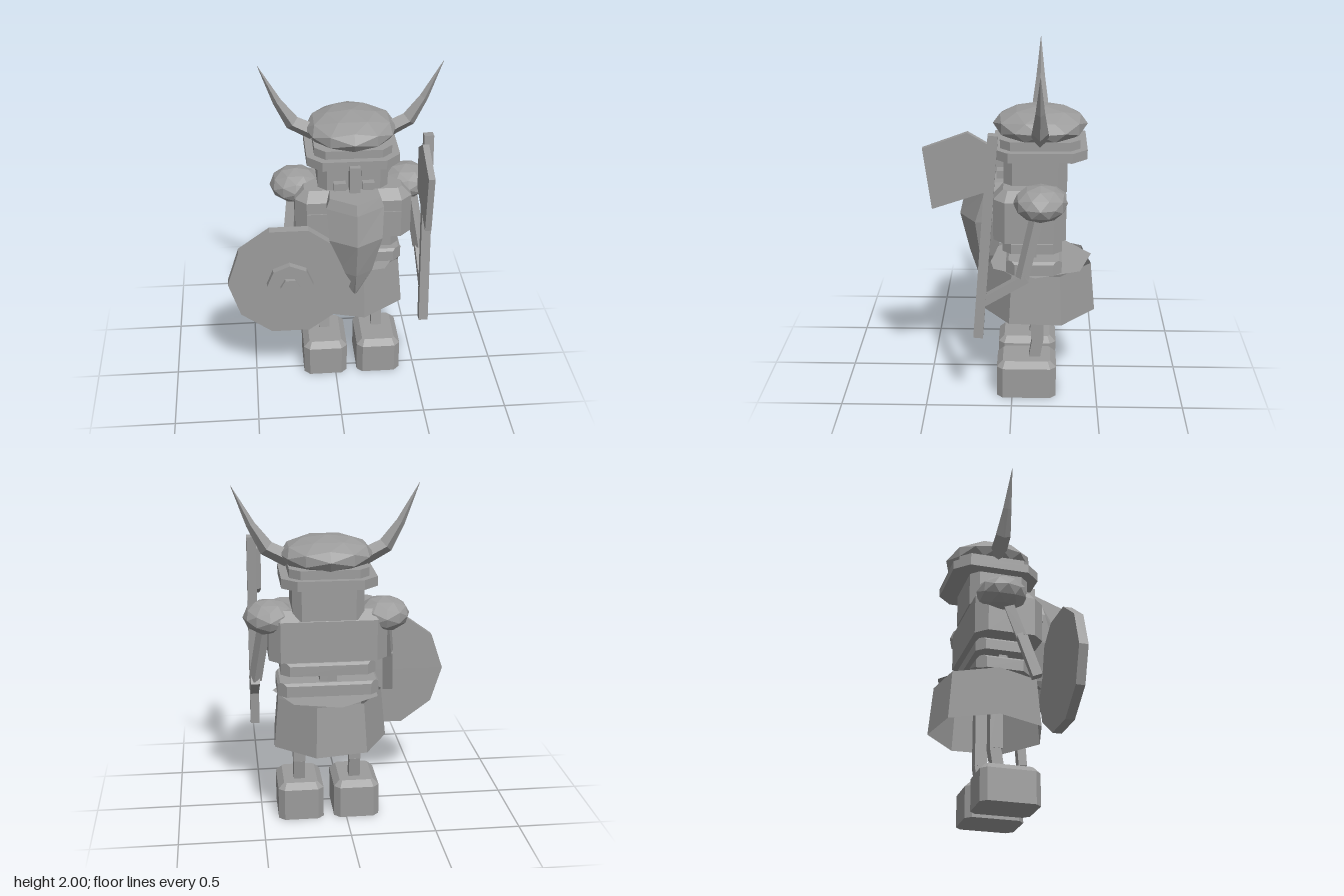
import * as THREE from 'three';

const CX = 0.105, CZ = -0.155; // body axis

export function createModel() {
  const root = new THREE.Group();
  root.name = 'hornedWarrior';
  const grey = new THREE.MeshStandardMaterial({ color: 0x9c9c9c, flatShading: true, side: THREE.DoubleSide });
  grey.name = 'stone grey';

  const add = (name, geo, x = 0, y = 0, z = 0, parent = root) => {
    const m = new THREE.Mesh(geo, grey);
    m.name = name;
    m.position.set(x, y, z);
    parent.add(m);
    return m;
  };

  // Skin a stack of rings, capped at both ends
  const loft = (rings) => {
    const n = rings[0].length, idx = [];
    const top = (rings.length - 1) * n;
    for (let r = 0; r < rings.length - 1; r++)
      for (let i = 0; i < n; i++) {
        const a = r * n + i, b = r * n + (i + 1) % n;
        idx.push(a, b, b + n, a, b + n, a + n);
      }
    for (let i = 1; i < n - 1; i++) idx.push(0, i + 1, i, top, top + i, top + i + 1);
    const g = new THREE.BufferGeometry();
    g.setAttribute('position', new THREE.Float32BufferAttribute(rings.flat(2), 3));
    g.setIndex(idx);
    const flat = g.toNonIndexed();
    flat.computeVertexNormals();
    return flat;
  };

  // Rectangle with cut corners at height y
  const octagon = (hx, hz, c, y) => [
    [hx - c, y, hz], [hx, y, hz - c], [hx, y, c - hz], [hx - c, y, -hz],
    [c - hx, y, -hz], [-hx, y, c - hz], [-hx, y, hz - c], [c - hx, y, hz],
  ];

  // Block with cut corners and an optional bevel round the top
  const block = (name, x, z, hx, hz, y0, y1, c, bevel = 0) => {
    const rings = [octagon(hx, hz, c, y0), octagon(hx, hz, c, y1 - bevel)];
    if (bevel) rings.push(octagon(hx - bevel, hz - bevel, c * 0.4, y1));
    return add(name, loft(rings), x, 0, z);
  };

  const box = (name, x0, x1, y0, y1, z0, z1) =>
    add(name, new THREE.BoxGeometry(x1 - x0, y1 - y0, z1 - z0), (x0 + x1) / 2, (y0 + y1) / 2, (z0 + z1) / 2);

  // Square bar between two points
  const bar = (name, from, to, w) => {
    const a = new THREE.Vector3(...from), b = new THREE.Vector3(...to);
    const m = add(name, new THREE.BoxGeometry(w, w, a.distanceTo(b)));
    m.position.copy(a).add(b).multiplyScalar(0.5);
    m.lookAt(b);
    return m;
  };

  const dome = (name, x, y, z, r, h) =>
    add(name, new THREE.IcosahedronGeometry(1, 1).scale(r, h, r), x, y, z);

  // Feet and legs
  for (const [side, fx, lx] of [['right', -0.063, -0.058], ['left', 0.27, 0.275]]) {
    block(side + 'Foot', fx, -0.085, 0.135, 0.175, 0, 0.225, 0.035, 0.035);
    bar(side + 'Shin', [lx, 0.15, -0.12], [lx, 0.35, -0.153], 0.066);
    box(side + 'Thigh', lx - 0.035, lx + 0.035, 0.345, 0.78, -0.185, -0.11);
  }

  // Seven-sided skirt, open below
  const skirt = add('skirt', new THREE.CylinderGeometry(0.32, 0.348, 0.295, 7, 1, true), CX, 0.6375, -0.15);
  skirt.rotation.y = 0.175;
  const waist = add('skirtTop', new THREE.CircleGeometry(0.32, 7).rotateX(-Math.PI / 2).rotateY(Math.PI / 2), CX, 0.785, -0.15);
  waist.rotation.y = 0.175;

  // Stacked waist bands and the posts between them
  block('lowerBand', CX, -0.125, 0.295, 0.16, 0.79, 0.87, 0.05, 0.015);
  block('upperBand', CX, -0.115, 0.275, 0.17, 0.915, 0.99, 0.05, 0.015);
  box('spine', CX - 0.05, CX + 0.05, 0.78, 1.02, -0.255, -0.155);
  for (const s of [-1, 1]) {
    const x = CX + s * 0.19;
    box('waistPost', x - 0.025, x + 0.025, 0.78, 1.02, -0.14, -0.09);
  }

  // Chest, with a thin strap across its front
  block('chest', CX, -0.1, 0.342, 0.205, 1.005, 1.3, 0.065, 0.055);
  box('chestStrap', CX - 0.277, CX + 0.277, 1.135, 1.175, 0.1, 0.112);

  // Head and face
  block('head', CX, -0.13, 0.205, 0.18, 1.25, 1.5, 0.05);
  box('nose', 0.075, 0.135, 1.325, 1.485, 0.03, 0.142);
  for (const s of [-1, 1]) {
    const x = CX + s * 0.083;
    box('eye', x - 0.037, x + 0.037, 1.39, 1.45, 0.04, 0.062);
    box('cheek', x - 0.035, x + 0.035, 1.315, 1.36, 0.04, 0.09);
  }

  // Beard: ridged front, swelling then tapering to a point
  const beardRing = ([y, w, back, side, ridge]) =>
    [[0, y, ridge], [w, y, side], [w * 0.95, y, back], [-w * 0.95, y, back], [-w, y, side]];
  const beard = [
    [0.675, 0.012, 0.18, 0.19, 0.205], [0.83, 0.1, 0.11, 0.19, 0.255], [1.06, 0.155, 0.02, 0.215, 0.31],
    [1.24, 0.167, 0.03, 0.16, 0.27], [1.3, 0.147, 0.03, 0.15, 0.245],
  ];
  add('beard', loft(beard.map(beardRing)), CX);

  // Helmet
  block('helmetBrim', CX, CZ, 0.27, 0.265, 1.455, 1.51, 0.085);
  block('helmetBand', CX, CZ, 0.225, 0.225, 1.51, 1.56, 0.06);
  dome('helmetDome', CX, 1.61, CZ, 0.27, 0.105);

  // Horns, mirrored about the body axis
  const hornPath = [[0.215, 1.58, 0.05], [0.34, 1.645, 0.046], [0.425, 1.78, 0.026], [0.53, 2.0, 0.001]];
  const hornRings = hornPath.map(([x, y, r], i) => {
    const p = hornPath[Math.max(i - 1, 0)], q = hornPath[Math.min(i + 1, 3)];
    const l = Math.hypot(q[0] - p[0], q[1] - p[1]);
    const nx = -(q[1] - p[1]) / l * r, ny = (q[0] - p[0]) / l * r;
    return [[x + nx, y + ny, 0], [x, y, r], [x - nx, y - ny, 0], [x, y, -r]];
  });
  for (const s of [-1, 1]) {
    const horn = add(s > 0 ? 'leftHorn' : 'rightHorn', loft(hornRings), CX, 0, CZ);
    horn.scale.x = s;
  }

  // Shoulders
  dome('rightShoulder', -0.225, 1.245, -0.16, 0.152, 0.102);
  dome('leftShoulder', 0.437, 1.245, -0.16, 0.152, 0.102);

  // Arms
  bar('rightUpperArm', [-0.24, 1.2, -0.13], [-0.27, 0.96, -0.05], 0.058);
  bar('rightForearm', [-0.27, 0.98, -0.055], [-0.287, 0.72, 0.035], 0.058);
  bar('leftUpperArm', [0.465, 1.2, -0.145], [0.522, 0.83, -0.06], 0.055);
  bar('leftForearm', [0.522, 0.835, -0.085], [0.522, 0.68, 0.17], 0.052);

  // Round shield with a stepped boss
  const disc = (name, r, n, z0, z1, turn) => {
    const g = new THREE.CylinderGeometry(r, r, z1 - z0, n).rotateX(Math.PI / 2).rotateZ(turn);
    add(name, g, -0.283, 0.785, (z0 + z1) / 2);
  };
  disc('shield', 0.365, 10, 0.16, 0.215, Math.PI / 2);
  disc('shieldBoss', 0.137, 8, 0.215, 0.257, 0);
  disc('shieldStud', 0.058, 6, 0.257, 0.28, Math.PI / 2);

  // Axe: leaning shaft and a five-cornered blade
  bar('axeShaft', [0.522, 0.467, 0.188], [0.522, 1.662, 0.097], 0.055);
  const blade = new THREE.Shape([
    [0.48, 1.575], [0.235, 1.665], [0.1, 1.585], [0.125, 1.335], [0.435, 1.23],
  ].map(([z, y]) => new THREE.Vector2(-z, y)));
  const bladeGeo = new THREE.ExtrudeGeometry(blade, { depth: 0.036, bevelEnabled: false }).rotateY(Math.PI / 2);
  add('axeBlade', bladeGeo, 0.467);

  return root;
}
